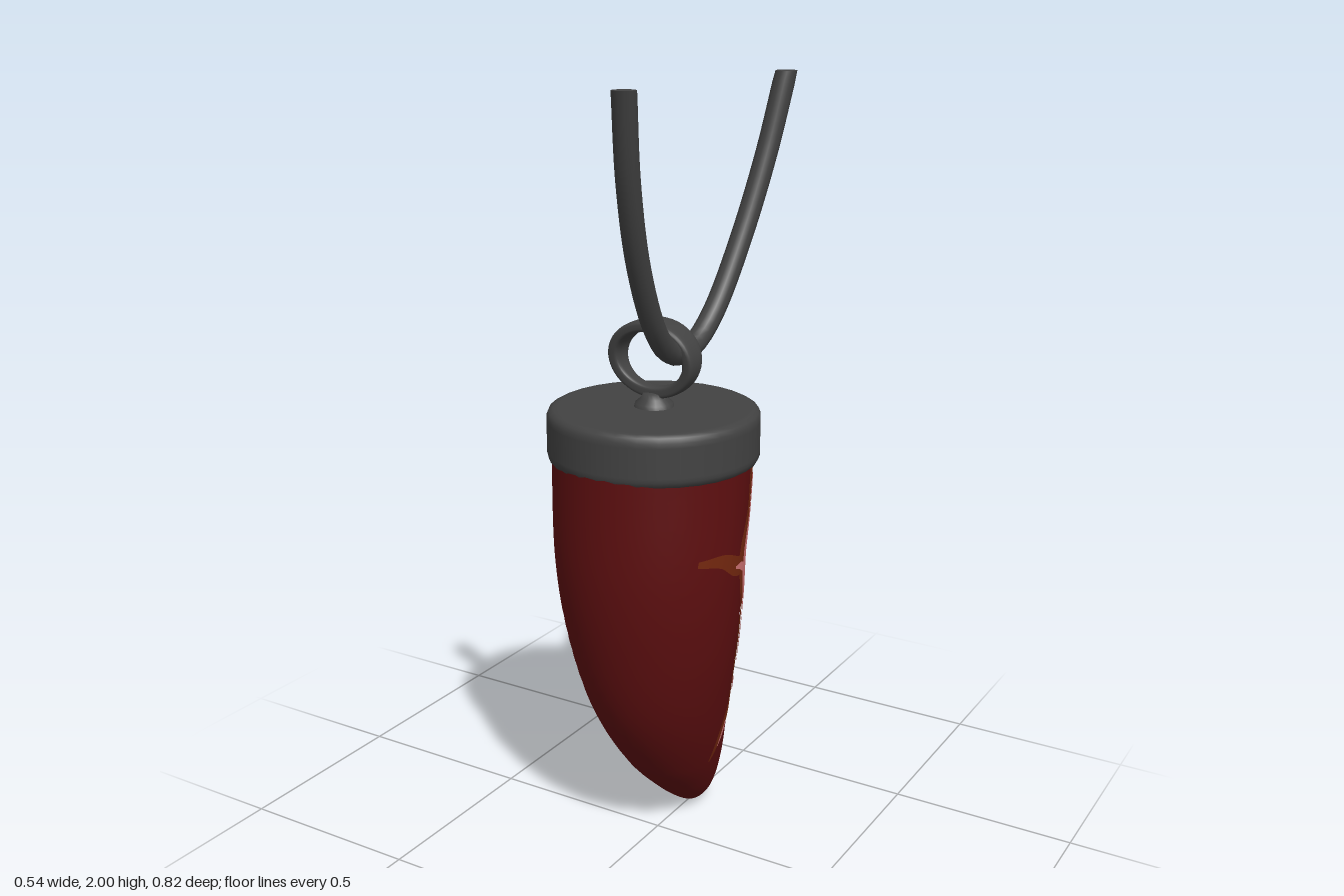
import * as THREE from 'three';

const mat = (name, color, side = THREE.FrontSide) => {
  const m = new THREE.MeshStandardMaterial({ color, side });
  m.name = name;
  return m;
};
const darkMetal = mat('dark grey', 0x424242);
const red = mat('deep red', 0x5e0f10);
const brown = mat('dark brown', 0x38220d);
const rust = mat('rust orange', 0x75280f, THREE.DoubleSide);
const pink = mat('pale pink', 0xd27474, THREE.DoubleSide);

// Surface from f(u across, v along), with smooth normals from its slopes
function grid(f, nu, nv) {
  const pos = [], nor = [], idx = [], h = 1e-4;
  for (let i = 0; i <= nv; i++) {
    for (let j = 0; j <= nu; j++) {
      const u = j / nu, v = i / nv;
      const du = f(u + h, v).sub(f(u - h, v)).normalize();
      const dv = f(u, v + h).sub(f(u, v - h)).normalize();
      pos.push(...f(u, v).toArray());
      nor.push(...dv.cross(du).normalize().toArray());
      if (i < nv && j < nu) {
        const a = i * (nu + 1) + j, b = a + nu + 1;
        idx.push(a, b, a + 1, b, b + 1, a + 1);
      }
    }
  }
  const g = new THREE.BufferGeometry();
  g.setAttribute('position', new THREE.Float32BufferAttribute(pos, 3));
  g.setAttribute('normal', new THREE.Float32BufferAttribute(nor, 3));
  g.setIndex(idx);
  return g;
}

// Tooth cross-sections: height, centre z, half depth, half width
const sections = [
  [0, -0.19, 0, 0], [0.03, -0.18, 0.06, 0.045], [0.1, -0.142, 0.108, 0.085],
  [0.2, -0.088, 0.153, 0.125], [0.4, -0.01, 0.2, 0.182], [0.6, 0.025, 0.225, 0.222],
  [0.8, 0.04, 0.24, 0.243], [1.1, 0.026, 0.26, 0.251],
];
const profile = new THREE.CubicInterpolant(
  sections.map(s => Math.sqrt(s[0])), sections.flatMap(s => s.slice(1)), 3);
const sectionAt = y => [...profile.evaluate(Math.sqrt(Math.max(y, 0)))];

// Piecewise linear lookup in a list of [y, value], from the top down
function lookup(list, y) {
  for (let i = 1; i < list.length; i++) {
    const [y0, a] = list[i - 1], [y1, b] = list[i];
    if (y >= y1) return a + (b - a) * Math.min((y0 - y) / (y0 - y1), 1);
  }
  return list[list.length - 1][1];
}

// Edges of the brown back, in degrees from straight back
const leftEdge = [[1.1, 45], [0.8, 33], [0.5, 27], [0.3, 30], [0.1, 45], [0, 60]];
const rightEdge = [[1.1, -97], [0.68, -93], [0.56, -70], [0.45, -48], [0.31, -50],
  [0.25, -64], [0.1, -66], [0, -66]];

function toothPatch(from, to) {
  return grid((u, v) => {
    const t = Math.max(1 - 0.999 * v, 0.0005), y = 1.1 * t * t;
    const [c, hz, hx] = sectionAt(y);
    const a = THREE.MathUtils.degToRad(THREE.MathUtils.lerp(from(y), to(y), u));
    return new THREE.Vector3(hx * Math.sin(a), y, c - hz * Math.cos(a));
  }, 32, 64);
}

// Thin strip lying on the tooth's left or right side; points are [z, y, half width]
function vein(points, lift, side = 1) {
  const path = new THREE.CatmullRomCurve3(points.map(p => new THREE.Vector3(...p)));
  return grid((u, v) => {
    const k = THREE.MathUtils.clamp(v, 0, 1);
    const p = path.getPoint(k), d = path.getTangent(k);
    const s = 2 * (u - 0.5) * Math.max(p.z, 0.002) / Math.hypot(d.x, d.y);
    const z = p.x + d.y * s, y = p.y - d.x * s;
    const [c, hz, hx] = sectionAt(y);
    const x = hx * Math.sqrt(Math.max(1 - ((z - c) / hz) ** 2, 0)) + lift;
    return new THREE.Vector3(side * x, y, z);
  }, 4, 36);
}

export function createModel() {
  const model = new THREE.Group();
  model.name = 'toothPendant';
  const add = (name, geometry, material, parent = model) => {
    const m = new THREE.Mesh(geometry, material);
    m.name = name;
    parent.add(m);
    return m;
  };

  // Tooth: brown back and red front share their edges
  const left = y => lookup(leftEdge, y), right = y => lookup(rightEdge, y);
  add('toothBack', toothPatch(left, right), brown);
  add('toothFront', toothPatch(y => right(y) + 360, left), red);

  // Glowing cracks on the left side
  const cracks = new THREE.Group();
  cracks.name = 'cracks';
  model.add(cracks);
  [
    [[-0.06, 1.07, 0.02], [-0.058, 0.96, 0.022], [-0.015, 0.85, 0.03], [-0.035, 0.76, 0.026],
      [-0.066, 0.67, 0.024], [-0.09, 0.57, 0.026], [-0.1, 0.49, 0.014], [-0.108, 0.43, 0.028], [-0.11, 0.37, 0.03]],
    [[-0.02, 0.82, 0.025], [0.03, 0.83, 0.026], [0.09, 0.86, 0.018], [0.165, 0.87, 0.008]],
    [[-0.1, 0.4, 0.02], [-0.14, 0.36, 0.02], [-0.178, 0.335, 0.008]],
    [[-0.105, 0.4, 0.022], [-0.075, 0.34, 0.018], [-0.062, 0.28, 0.013], [-0.053, 0.21, 0.003]],
  ].forEach(p => add('crackEdge', vein(p, 0.003), rust, cracks));
  [
    [[-0.06, 1.05, 0.008], [-0.055, 0.96, 0.01], [-0.022, 0.86, 0.011], [-0.025, 0.79, 0.014],
      [-0.063, 0.68, 0.014], [-0.088, 0.58, 0.012], [-0.096, 0.51, 0.004]],
    [[-0.02, 0.81, 0.012], [0.01, 0.825, 0.01], [0.04, 0.83, 0.003]],
    [[-0.105, 0.455, 0.003], [-0.112, 0.43, 0.014], [-0.115, 0.41, 0.003]],
    [[-0.068, 0.34, 0.003], [-0.066, 0.31, 0.007], [-0.06, 0.26, 0.002]],
  ].forEach(p => add('crackCore', vein(p, 0.006), pink, cracks));

  // Metal cap with rounded rims
  const capProfile = [[0, 1.07], [0.24, 1.07], [0.252, 1.071], [0.263, 1.077], [0.268, 1.09], [0.268, 1.1],
    [0.268, 1.175], [0.268, 1.187], [0.263, 1.199], [0.252, 1.205], [0.24, 1.206], [0, 1.206]];
  const cap = add('cap', new THREE.LatheGeometry(capProfile.map(p => new THREE.Vector2(...p)), 32), darkMetal);
  cap.position.z = 0.02;

  // Flared foot under the ring
  const footProfile = [[0.052, 1.2], [0.048, 1.215], [0.034, 1.227], [0.027, 1.24], [0, 1.245]];
  const foot = add('ringFoot', new THREE.LatheGeometry(footProfile.map(p => new THREE.Vector2(...p)), 20), darkMetal);
  foot.position.z = 0.018;

  // Oval ring, a band that widens toward the top
  const soft = x => Math.sign(x) * Math.sqrt(Math.abs(x));
  add('ring', grid((u, v) => {
    const a = 2 * Math.PI * u + 0.13, phi = 2 * Math.PI * v;
    const r = 0.015 * soft(Math.cos(a));
    const w = THREE.MathUtils.lerp(0.019, 0.044, (1 + Math.sin(phi)) / 2);
    return new THREE.Vector3((0.107 + r) * Math.cos(phi), 1.327 + (0.085 + r) * Math.sin(phi),
      0.015 + w * soft(Math.sin(a)));
  }, 24, 48), darkMetal);

  // Cord hanging through the ring, cut level at the top
  const half = [[0.146, 2, 0.38], [0.122, 1.8, 0.327], [0.098, 1.6, 0.247], [0.08, 1.43, 0.144], [0.072, 1.363, 0.068]];
  const points = [...half, [0.07, 1.344, 0], ...half.map(([x, y, z]) => [x, y, -z]).reverse()];
  const path = new THREE.CatmullRomCurve3(points.map(p => new THREE.Vector3(...p)));
  const cord = new THREE.TubeGeometry(path, 48, 0.028, 12);
  const pos = cord.attributes.position;
  for (let i = 0; i < 13; i++) {
    pos.setY(i, 2);
    pos.setY(pos.count - 1 - i, 2);
  }
  add('cord', cord, darkMetal);
  for (const s of [1, -1]) {
    const end = add('cordEnd', new THREE.CircleGeometry(0.028, 12).rotateX(-Math.PI / 2), darkMetal);
    end.position.set(0.146, 2, 0.38 * s);
  }
  return model;
}
